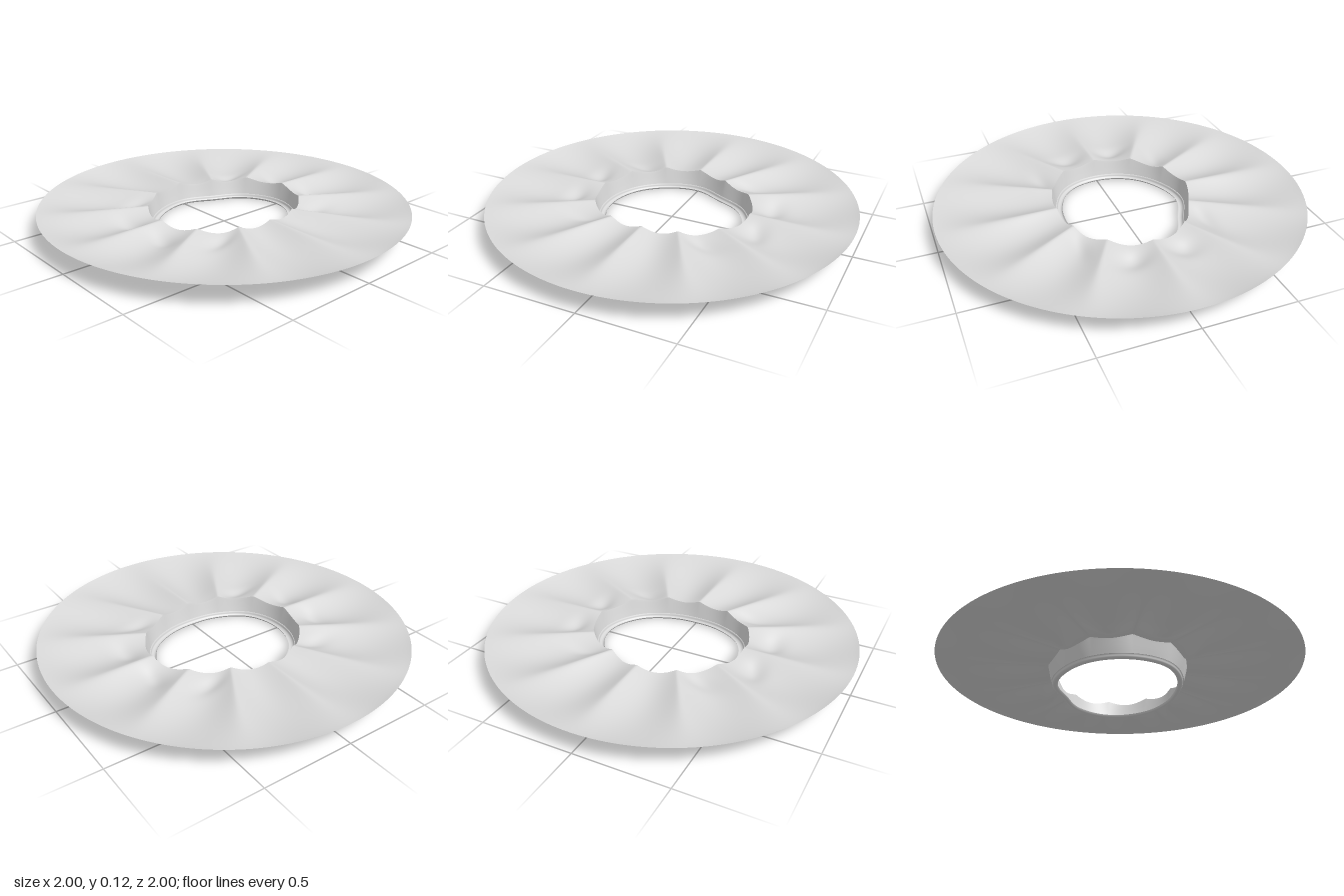
import * as THREE from 'three';

const SEGMENTS = 360; // divides evenly by the 12 pleats
const RIM_HEIGHT = 0.12;

// Radius of the egg-shaped opening every 30 degrees, starting at +x and turning to +z
const HOLE = [0.395, 0.368, 0.325, 0.305, 0.325, 0.362, 0.367, 0.36, 0.345, 0.34, 0.318, 0.368];

function holeRadius(angle) {
  const u = (angle / (Math.PI * 2)) * 12;
  const i = Math.floor(u), t = u - i;
  const [a, b, c, d] = [-1, 0, 1, 2].map((k) => HOLE[(i + k + 12) % 12]);
  return b + 0.5 * t * (c - a + t * (2 * a - 5 * b + 4 * c - d + t * (3 * (b - c) + d - a)));
}

const COLLAR_TOP = 0.055; // how far the collar flares out from the opening
const bump = (v, centre, width) => Math.exp(-(((v - centre) / width) ** 2));

// Height of the pleated skirt: fabric sagging between twelve raised creases
function skirtHeight(angle, r) {
  const inner = holeRadius(angle) + COLLAR_TOP;
  const t = Math.max(0, Math.min(1, (1 - r) / (1 - inner)));
  const softness = 0.04 + 0.45 * (1 - t) ** 2; // creases fade toward the rim
  const wave = Math.sqrt(Math.sin(6 * angle) ** 2 + softness ** 2) / Math.sqrt(1 + softness ** 2);
  const sag = 0.05 * Math.sin(Math.PI * 0.85 * t ** 0.9);
  const x = Math.abs(r * Math.cos(angle)), z = Math.abs(r * Math.sin(angle));
  // deeper hollows beside the collar
  const sideDip = 0.02 * bump(x, 0.53, 0.055) * bump(z, 0.13, 0.11);
  const cornerDip = 0.014 * bump(z, 0.35, 0.045) * bump(x, 0.32, 0.12);
  return RIM_HEIGHT - wave * (sag + sideDip + cornerDip);
}

// Closed band of rings; ringPoint(angle, row) gives [radius, height]
function ringSurface(rows, ringPoint) {
  const positions = [], index = [];
  for (let j = 0; j <= rows; j++) {
    for (let i = 0; i < SEGMENTS; i++) {
      const angle = (i / SEGMENTS) * Math.PI * 2;
      const [r, y] = ringPoint(angle, j);
      positions.push(r * Math.cos(angle), y, r * Math.sin(angle));
      if (j === rows) continue;
      const next = (i + 1) % SEGMENTS;
      const a = j * SEGMENTS + i, b = j * SEGMENTS + next;
      const c = a + SEGMENTS, d = b + SEGMENTS;
      index.push(a, b, c, b, d, c);
    }
  }
  const geometry = new THREE.BufferGeometry();
  geometry.setAttribute('position', new THREE.Float32BufferAttribute(positions, 3));
  geometry.setIndex(index);
  geometry.computeVertexNormals();
  return geometry;
}

export function createModel() {
  const group = new THREE.Group();
  group.name = 'pleatedRing';
  const fabric = new THREE.MeshStandardMaterial({ color: 0xd9d9d9, side: THREE.DoubleSide });
  fabric.name = 'pale grey';

  const add = (name, geometry) => {
    const mesh = new THREE.Mesh(geometry, fabric);
    mesh.name = name;
    group.add(mesh);
  };

  // Pleated skirt, from the round rim in to the collar
  const rows = 40;
  add('pleatedSkirt', ringSurface(rows, (angle, j) => {
    const inner = holeRadius(angle) + COLLAR_TOP;
    const r = 1 + (inner - 1) * (j / rows);
    return [r, skirtHeight(angle, r)];
  }));

  // Collar wall, hanging from the scalloped inner edge of the skirt
  const wall = [[0.055, 1], [0.052, 0.85], [0.046, 0.5], [0.04, 0.2], [0.036, 0]];
  add('collarWall', ringSurface(wall.length - 1, (angle, j) => {
    const hole = holeRadius(angle);
    const top = skirtHeight(angle, hole + COLLAR_TOP);
    const [offset, rise] = wall[j];
    return [hole + offset, 0.022 + (top - 0.022) * rise];
  }));

  // Stepped lip around the bottom opening
  const lip = [[0.036, 0.022], [0.03, 0.021], [0.031, 0.012], [0.027, 0.005],
    [0.018, 0], [0.008, 0.001], [0.003, 0.005], [0, 0.012]];
  add('collarLip', ringSurface(lip.length - 1, (angle, j) =>
    [holeRadius(angle) + lip[j][0], lip[j][1]]));

  return group;
}
